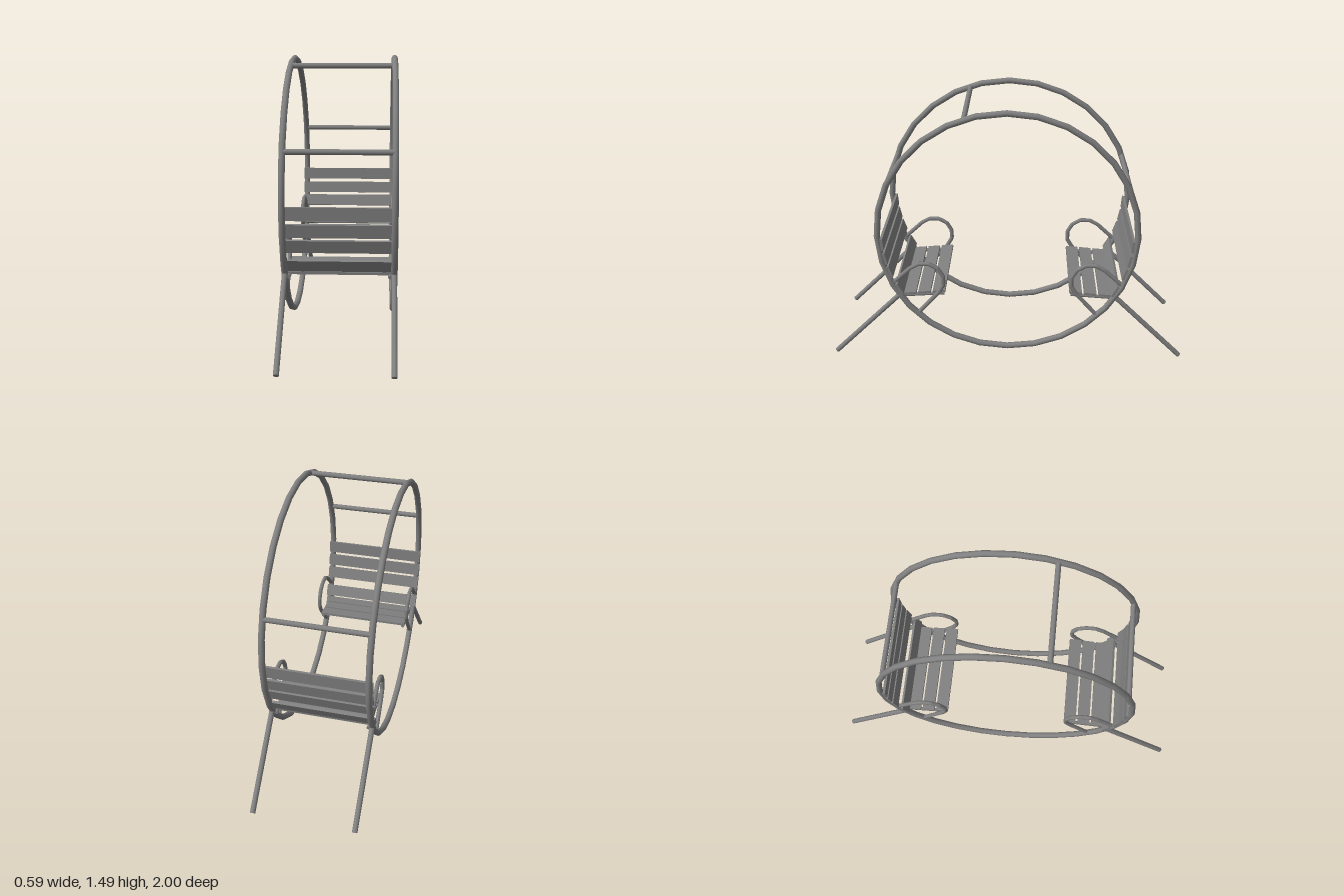
import * as THREE from 'three';

const steel = new THREE.MeshStandardMaterial({ color: 0x808080 });
const RAIL_X = 0.277, RING_Y = 0.763, RING_R = 0.705;

function add(parent, name, geometry) {
  const mesh = new THREE.Mesh(geometry, steel);
  mesh.name = name;
  parent.add(mesh);
  return mesh;
}

// Capped round bar between two points
function bar(parent, name, a, b, radius) {
  const from = new THREE.Vector3(...a), to = new THREE.Vector3(...b);
  const dir = to.clone().sub(from);
  const mesh = add(parent, name, new THREE.CylinderGeometry(radius, radius, dir.length(), 10));
  mesh.position.copy(from).add(to).multiplyScalar(0.5);
  mesh.quaternion.setFromUnitVectors(new THREE.Vector3(0, 1, 0), dir.normalize());
}

// Armrest: straight, round the bend in six facets, straight back to the ring
function armrestGeometry(x) {
  const cz = 0.46, cy = 0.49, r = 0.108, steps = 6;
  const points = [new THREE.Vector3(x, 0.475, 0.634)];
  for (let i = 0; i <= steps; i++) {
    const a = Math.PI / 4 + (i / steps) * Math.PI;
    points.push(new THREE.Vector3(x, cy + r * Math.sin(a), cz + r * Math.cos(a)));
  }
  points.push(new THREE.Vector3(x, 0.278, 0.502));
  const path = new THREE.CurvePath();
  for (let i = 1; i < points.length; i++) path.add(new THREE.LineCurve3(points[i - 1], points[i]));
  return new THREE.TubeGeometry(path, 64, 0.012, 8, false);
}

// One bench with its legs and armrests, on the +z side
function createBench() {
  const bench = new THREE.Group();

  // Backrest slats follow the inside of the ring
  for (const y of [0.718, 0.63, 0.548, 0.438]) {
    const angle = Math.asin((y - RING_Y) / 0.682);
    const slat = add(bench, 'backSlat', new THREE.BoxGeometry(0.588, 0.069, 0.014));
    slat.position.set(0, y, 0.682 * Math.cos(angle));
    slat.rotation.x = -angle;
  }

  // Seat slats between the armrests, tilted down toward the backrest
  const tilt = 0.09;
  for (const z of [0.383, 0.465, 0.547]) {
    const slat = add(bench, 'seatSlat', new THREE.BoxGeometry(0.532, 0.014, 0.07));
    slat.position.set(0, 0.411 - (z - 0.383) * tilt, z);
    slat.rotation.x = tilt;
  }

  for (const side of [-1, 1]) {
    const x = side * RAIL_X;
    bar(bench, 'seatSupport', [side * 0.256, 0.398, 0.355], [side * 0.256, 0.38, 0.6], 0.01);
    bar(bench, 'leg', [x, 0.01, 0.989], [x, 0.398, 0.601], 0.0145);
    add(bench, 'armrest', armrestGeometry(x));
  }
  return bench;
}

export function createModel() {
  const model = new THREE.Group();
  model.name = 'ringBenches';

  // Two large side rings
  for (const x of [-RAIL_X, RAIL_X]) {
    const ring = add(model, 'sideRing', new THREE.TorusGeometry(RING_R, 0.017, 10, 28));
    ring.rotation.y = Math.PI / 2;
    ring.position.set(x, RING_Y, 0);
  }

  // Rungs joining the rings
  for (const [y, z] of [[1.429, 0.22], [1.021, 0.654], [1.021, -0.654]]) {
    bar(model, 'rung', [-RAIL_X, y, z], [RAIL_X, y, z], 0.0145);
  }

  // Facing benches
  for (const turn of [0, Math.PI]) {
    const bench = createBench();
    bench.name = turn ? 'backBench' : 'frontBench';
    bench.rotation.y = turn;
    model.add(bench);
  }
  return model;
}
